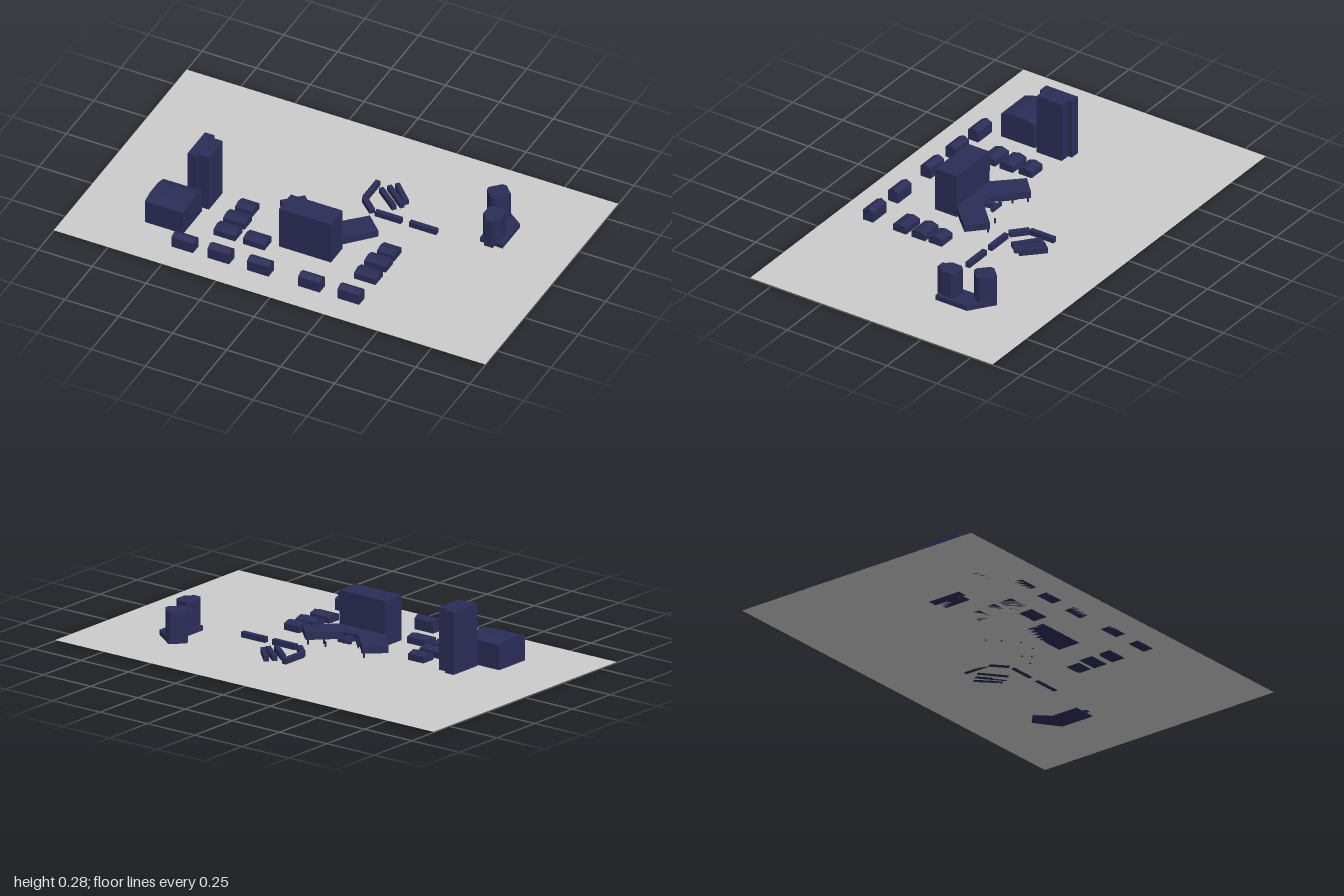
import * as THREE from 'three';

const navy = new THREE.MeshStandardMaterial({ color: 0x2b2d57, flatShading: true });
const grey = new THREE.MeshStandardMaterial({ color: 0xcccccc, side: THREE.DoubleSide });
const GROUND = 0.003;

export function createModel() {
  const model = new THREE.Group();

  const add = (name, geometry, material = navy) => {
    const mesh = new THREE.Mesh(geometry, material);
    mesh.name = name;
    model.add(mesh);
    return mesh;
  };

  // Box given by its limits on each axis
  const block = (name, x0, x1, y0, y1, z0, z1) => {
    const mesh = add(name, new THREE.BoxGeometry(x1 - x0, y1 - y0, z1 - z0));
    mesh.position.set((x0 + x1) / 2, (y0 + y1) / 2, (z0 + z1) / 2);
    return mesh;
  };

  // Box running between two plan points
  const bar = (name, [xa, za], [xb, zb], width, y0, y1) => {
    const length = Math.hypot(xb - xa, zb - za);
    const mesh = add(name, new THREE.BoxGeometry(length, y1 - y0, width));
    mesh.position.set((xa + xb) / 2, (y0 + y1) / 2, (za + zb) / 2);
    mesh.rotation.y = -Math.atan2(zb - za, xb - xa);
    return mesh;
  };

  // Plan outline of [x, z] points raised from y0 to y1
  const prism = (name, plan, y0, y1) => {
    const shape = new THREE.Shape(plan.map(([x, z]) => new THREE.Vector2(x, -z)));
    const geometry = new THREE.ExtrudeGeometry(shape, { depth: y1 - y0, bevelEnabled: false });
    geometry.rotateX(-Math.PI / 2);
    geometry.translate(0, y0, 0);
    return add(name, geometry);
  };

  // Side profile of [z, y] points drawn out along x
  const shed = (name, profile, x, z, width) => {
    const shape = new THREE.Shape(profile.map(([pz, py]) => new THREE.Vector2(-pz, py)));
    const geometry = new THREE.ExtrudeGeometry(shape, { depth: width, bevelEnabled: false });
    geometry.translate(0, 0, -width / 2);
    geometry.rotateY(Math.PI / 2);
    const mesh = add(name, geometry);
    mesh.position.set(x, GROUND, z);
    return mesh;
  };

  const house = (x, z, width, depth, eave, ridge) => {
    const d = depth / 2;
    return shed('house', [[-d, 0], [d, 0], [d, eave], [0, ridge], [-d, eave]], x, z, width);
  };

  // Ground sheet
  const ground = add('ground', new THREE.PlaneGeometry(2, 1.215), grey);
  ground.rotation.x = -Math.PI / 2;
  ground.position.y = GROUND;

  // Central hall with two splayed wings on stilts
  block('mainHall', -0.12, 0.12, GROUND, 0.2, 0.175, 0.283);
  prism('wings', [
    [-0.12, 0.176], [0.12, 0.176], [0.228, 0.062], [0.15, -0.013],
    [0.035, 0.1], [-0.035, 0.1], [-0.15, -0.013], [-0.228, 0.062],
  ], 0.024, 0.055);
  for (const side of [-1, 1]) {
    for (const [x, z] of [[0.147, 0.0], [0.1, 0.047], [0.038, 0.1]]) {
      block('stilt', side * x - 0.003, side * x + 0.003, 0, 0.026, z - 0.003, z + 0.003);
    }
  }

  // Entrance stair with its landing, and the slim walkway beside it
  prism('entranceStair', [[-0.018, 0.1], [0.018, 0.1], [0.009, 0.062], [-0.009, 0.062]], 0.024, 0.045);
  block('landing', -0.033, 0.033, 0.024, 0.04, 0.052, 0.066);
  bar('walkway', [-0.1, 0.024], [-0.045, 0.08], 0.005, 0.028, 0.05);
  block('walkwayPost', 0.067, 0.073, 0, 0.026, 0.015, 0.021);

  // Houses: a taller front row and lower ones around the hall
  for (const x of [-0.467, -0.3, -0.117, 0.12, 0.303]) house(x, 0.46, 0.1, 0.05, 0.048, 0.061);
  for (const [x, z, width] of [
    [-0.348, 0.126, 0.08], [-0.348, 0.214, 0.1], [-0.348, 0.302, 0.1], [-0.212, 0.302, 0.1],
    [0.31, 0.126, 0.08], [0.303, 0.208, 0.1], [0.303, 0.302, 0.1],
  ]) house(x, z, width, 0.067, 0.028, 0.038);

  // Factory with a flat-topped pitched roof
  shed('factory', [
    [-0.085, 0], [0.085, 0], [0.085, 0.108], [0.038, 0.122], [-0.038, 0.122], [-0.085, 0.108],
  ], -0.601, 0.302, 0.178);

  // Tall tower made of two offset slabs
  block('towerSlab', -0.583, -0.538, GROUND, 0.275, 0.048, 0.208);
  block('towerSlab', -0.538, -0.491, GROUND, 0.275, 0.067, 0.193);

  // Twin towers on a bent podium
  prism('podium', [
    [0.545, -0.307], [0.602, -0.357], [0.71, -0.28], [0.71, -0.122], [0.605, -0.122], [0.605, -0.245],
  ], 0, 0.024);
  const octagon = (cx, cz, r, cut, angle) => [
    [r, cut], [cut, r], [-cut, r], [-r, cut], [-r, -cut], [-cut, -r], [cut, -r], [r, -cut],
  ].map(([x, z]) => [
    cx + x * Math.cos(angle) - z * Math.sin(angle),
    cz + x * Math.sin(angle) + z * Math.cos(angle),
  ]);
  prism('twinTower', octagon(0.603, -0.3, 0.043, 0.03, Math.PI / 4), GROUND, 0.14);
  prism('twinTower', octagon(0.652, -0.163, 0.041, 0.024, 0), GROUND, 0.14);
  block('towerPorch', 0.632, 0.672, GROUND, 0.14, -0.15, -0.106);

  // Low flat-roofed rows around the rear court
  for (const [a, b, width] of [
    [[0.057, -0.273], [0.057, -0.152], 0.021],
    [[0.058, -0.147], [0.122, -0.09], 0.024],
    [[0.14, -0.088], [0.261, -0.088], 0.021],
    [[0.298, -0.088], [0.424, -0.088], 0.021],
    [[0.09, -0.235], [0.193, -0.152], 0.021],
    [[0.113, -0.264], [0.217, -0.179], 0.021],
    [[0.136, -0.291], [0.222, -0.206], 0.021],
  ]) bar('lowRow', a, b, width, GROUND, 0.027);

  return model;
}
